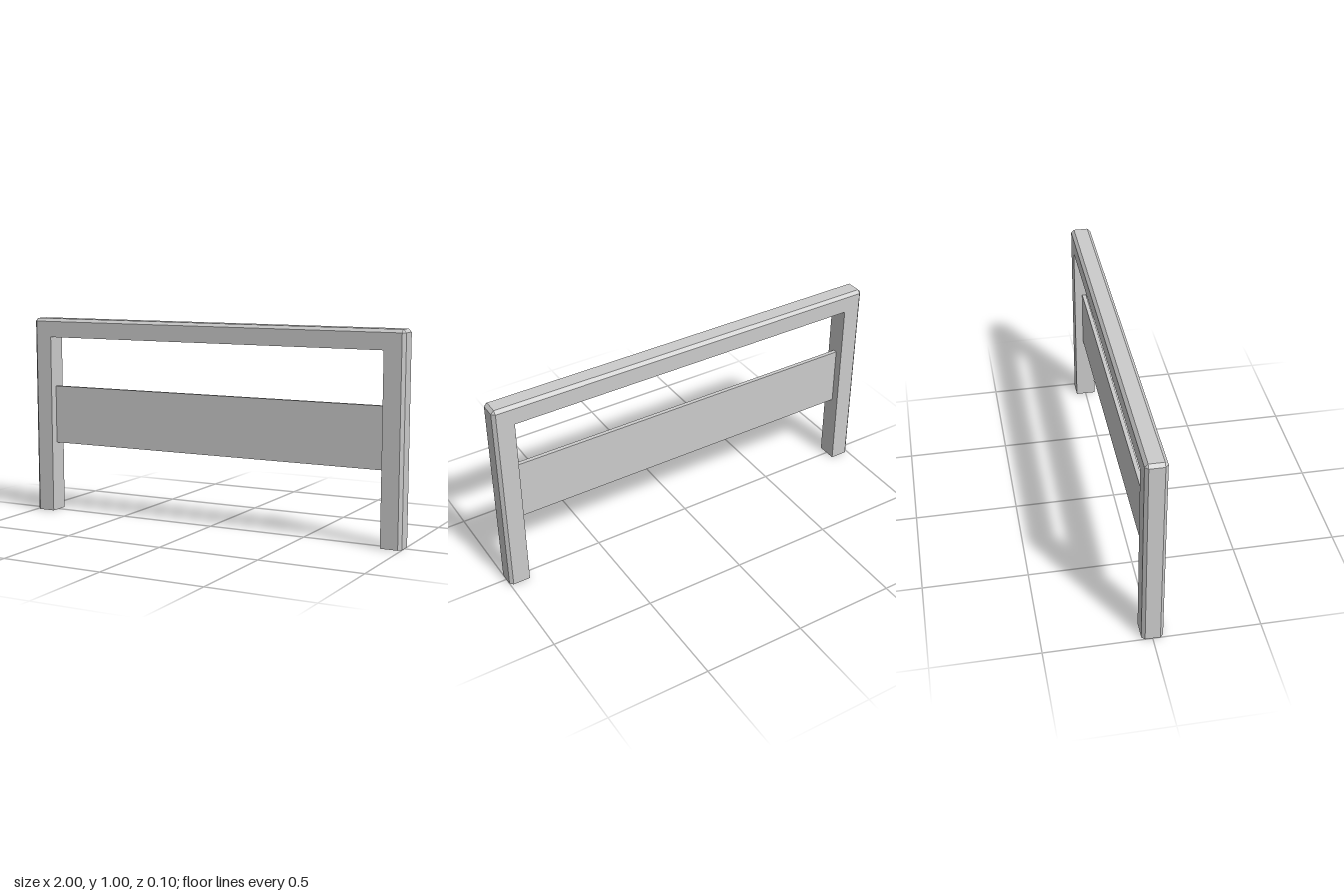
import * as THREE from 'three';

const BEVEL = 0.015, HALF_DEPTH = 0.05;
const INNER_X = 0.9, INNER_Y = 0.905;

// Arch-shaped frame: one cross-section carried up a leg, over the top and down again.
// Only the outer edges are bevelled; the inner edges stay square.
function frameGeometry() {
  const e = 1 - BEVEL;
  // Each station: inner point, bevel-edge point and outermost point in x, y
  const half = [
    [[INNER_X, 0], [e, 0], [1, 0]],
    [[INNER_X, INNER_Y], [e, e], [1, e]],
    [[INNER_X, INNER_Y], [e, e], [e, 1]],
  ];
  const mirrored = half.map(s => s.map(([x, y]) => [-x, y])).reverse();
  const sections = [...half, ...mirrored].map(([inner, edge, outer]) => {
    const at = ([x, y], z) => new THREE.Vector3(x, y, z);
    const d = HALF_DEPTH, b = d - BEVEL;
    return [at(inner, d), at(edge, d), at(outer, b), at(outer, -b), at(edge, -d), at(inner, -d)];
  });

  const points = [];
  const triangle = (a, b, c) => {
    if (new THREE.Triangle(a, b, c).getArea() > 1e-8) points.push(a, b, c);
  };
  for (let s = 0; s < sections.length - 1; s++) {
    const p = sections[s], q = sections[s + 1];
    for (let j = 0; j < p.length; j++) {
      const k = (j + 1) % p.length;
      triangle(p[j], p[k], q[k]);
      triangle(p[j], q[k], q[j]);
    }
  }
  // Soles of the two legs
  const first = sections[0], last = sections[sections.length - 1];
  for (let j = 1; j < first.length - 1; j++) {
    triangle(first[0], first[j + 1], first[j]);
    triangle(last[0], last[j], last[j + 1]);
  }
  const geometry = new THREE.BufferGeometry().setFromPoints(points);
  geometry.computeVertexNormals();
  return geometry;
}

export function createModel() {
  const group = new THREE.Group();
  group.name = 'headboard';
  const material = new THREE.MeshStandardMaterial({ color: 0xcccccc, flatShading: true });

  // Legs and top rail
  const frame = new THREE.Mesh(frameGeometry(), material);
  frame.name = 'frame';

  // Thin board between the legs
  const bottom = 0.355, top = 0.65;
  const panel = new THREE.Mesh(new THREE.BoxGeometry(2 * INNER_X, top - bottom, 0.02), material);
  panel.name = 'panel';
  panel.position.y = (bottom + top) / 2;

  group.add(frame, panel);
  return group;
}
